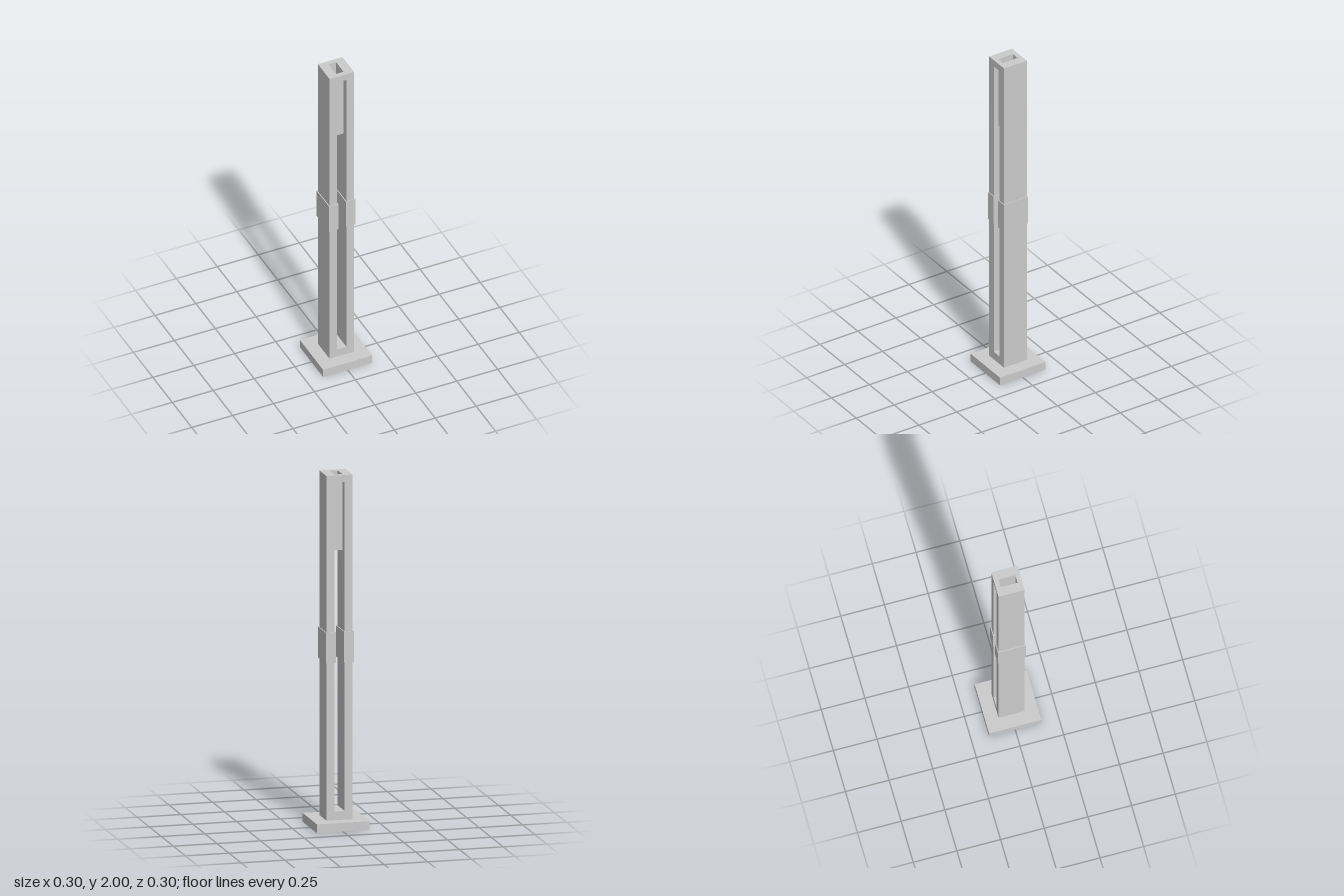
import * as THREE from 'three';

const grey = new THREE.MeshStandardMaterial({ color: 0xcccccc, flatShading: true });
const greyThin = new THREE.MeshStandardMaterial({ color: 0xcccccc, flatShading: true, side: THREE.DoubleSide });

const HALF = 0.075;            // half width of the post
const SLOT = 0.028;            // half width of the through slot
const FOOT = 0.05, SILL = 0.1, LINTEL = 1.96, TOP = 2;
const POCKET = { x: 0.023, z: 0.048, floor: 1.57 };

function add(group, name, geometry, material = grey) {
  const mesh = new THREE.Mesh(geometry, material);
  mesh.name = name;
  group.add(mesh);
  return mesh;
}

// Box given by its lower and upper corners
function box(x0, x1, y0, y1, z0, z1) {
  return new THREE.BoxGeometry(x1 - x0, y1 - y0, z1 - z0)
    .translate((x0 + x1) / 2, (y0 + y1) / 2, (z0 + z1) / 2);
}

function rectangle(Type, hx, hy) {
  return new Type([[-hx, -hy], [hx, -hy], [hx, hy], [-hx, hy]].map(p => new THREE.Vector2(...p)));
}

export function createModel() {
  const model = new THREE.Group();
  model.name = 'slottedPost';

  add(model, 'basePlate', box(-0.15, 0.15, 0, FOOT, -0.15, 0.15));

  // U-shaped post body, slotted from front to back
  const profile = new THREE.Shape([
    [-HALF, FOOT], [HALF, FOOT], [HALF, LINTEL], [SLOT, LINTEL],
    [SLOT, SILL], [-SLOT, SILL], [-SLOT, LINTEL], [-HALF, LINTEL],
  ].map(p => new THREE.Vector2(...p)));
  add(model, 'postBody', new THREE.ExtrudeGeometry(profile, { depth: 2 * HALF, bevelEnabled: false })
    .translate(0, 0, -HALF));

  // Top cap with the pocket opening
  const cap = rectangle(THREE.Shape, HALF, HALF);
  cap.holes.push(rectangle(THREE.Path, POCKET.x, POCKET.z));
  add(model, 'topCap', new THREE.ExtrudeGeometry(cap, { depth: TOP - LINTEL, bevelEnabled: false })
    .rotateX(-Math.PI / 2).translate(0, LINTEL, 0));

  // Thin-walled pocket hanging from the cap into the slot
  const pocket = new THREE.Group();
  pocket.name = 'pocket';
  model.add(pocket);
  const height = LINTEL - POCKET.floor, middle = (LINTEL + POCKET.floor) / 2;
  for (const s of [-1, 1]) {
    add(pocket, 'pocketEndWall', new THREE.PlaneGeometry(2 * POCKET.x, height), greyThin)
      .position.set(0, middle, s * POCKET.z);
    add(pocket, 'pocketSideWall', new THREE.PlaneGeometry(2 * POCKET.z, height).rotateY(s * Math.PI / 2), greyThin)
      .position.set(s * POCKET.x, middle, 0);
  }
  add(pocket, 'pocketFloor', new THREE.PlaneGeometry(2 * POCKET.x, 2 * POCKET.z).rotateX(-Math.PI / 2), greyThin)
    .position.y = POCKET.floor;

  // Raised band around each leg
  add(model, 'leftBand', box(0.023, 0.08, 0.94, 1.115, -0.08, 0.08));
  add(model, 'rightBand', box(-0.08, -0.023, 0.94, 1.115, -0.08, 0.08));

  return model;
}
